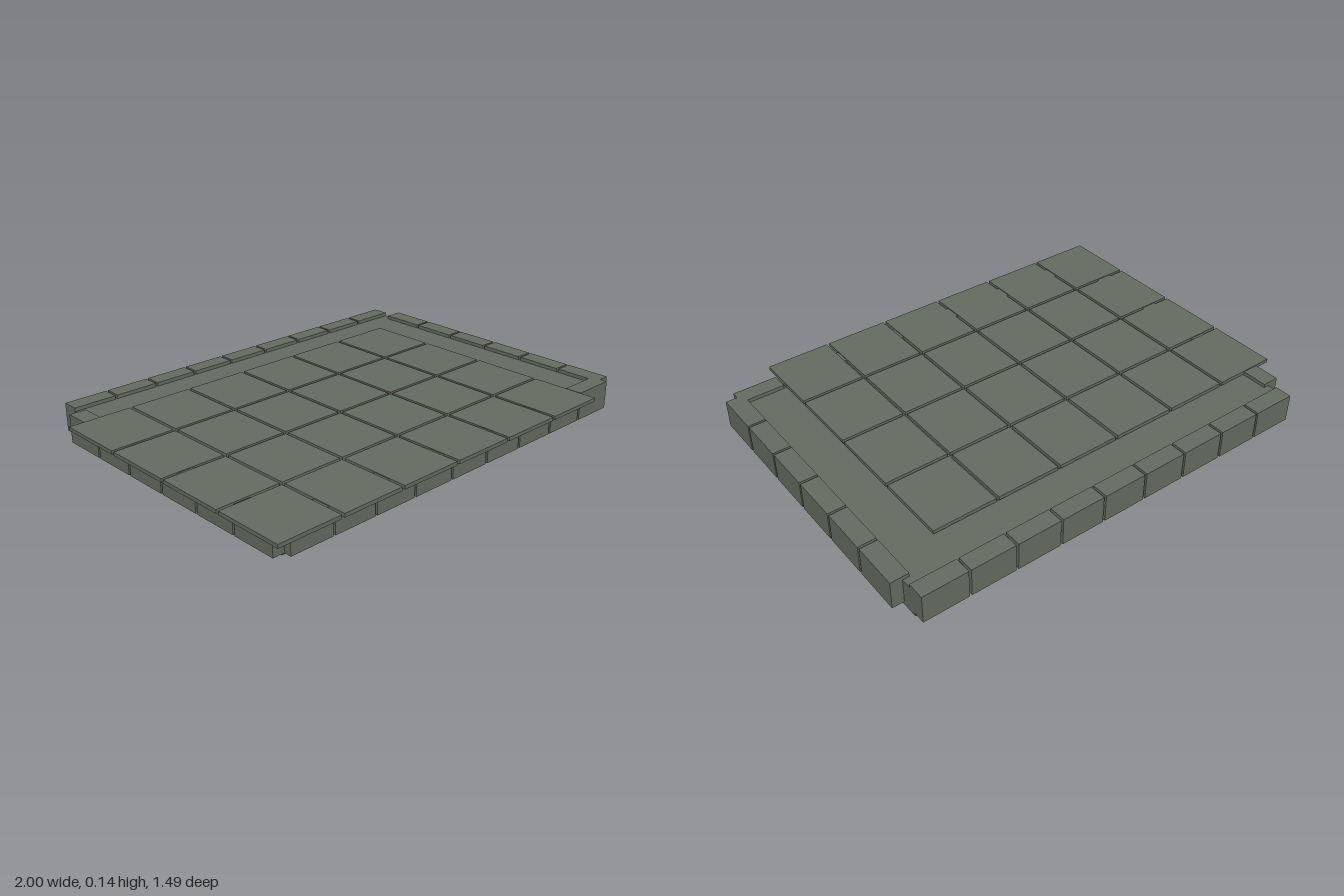
import * as THREE from 'three';

const stone = new THREE.MeshStandardMaterial({ color: 0x636a5f });
stone.name = 'greyGreenStone';

// Box given by its extents on each axis
function block(name, [x0, x1], [y0, y1], [z0, z1]) {
  const mesh = new THREE.Mesh(new THREE.BoxGeometry(x1 - x0, y1 - y0, z1 - z0), stone);
  mesh.position.set((x0 + x1) / 2, (y0 + y1) / 2, (z0 + z1) / 2);
  mesh.name = name;
  return mesh;
}

// Splits a length into equal pieces with a gap between neighbours
function split(from, to, count, gap) {
  const size = (to - from - gap * (count - 1)) / count;
  return Array.from({ length: count }, (_, i) => {
    const start = from + i * (size + gap);
    return [start, start + size];
  });
}

function group(name, parent) {
  const g = new THREE.Group();
  g.name = name;
  parent.add(g);
  return g;
}

export function createModel() {
  const model = new THREE.Group();
  model.name = 'stonePlatform';

  // Solid core
  model.add(block('coreSlab', [-0.88, 0.95], [0, 0.122], [-0.7, 0.62]));

  // Edge blocks along the front and back
  const edgeY = [0.014, 0.138];
  for (const [name, z] of [['front', [0.59, 0.665]], ['back', [-0.75, -0.675]]]) {
    const row = group(name + 'Edge', model);
    for (const x of split(-0.88, 0.95, 9, 0.01)) row.add(block(name + 'EdgeBlock', x, edgeY, z));
  }

  // Edge blocks along the two sides
  for (const [name, x] of [['left', [0.922, 1]], ['right', [-0.93, -0.855]]]) {
    const row = group(name + 'Edge', model);
    for (const z of split(-0.632, 0.632, 6, 0.01)) row.add(block(name + 'EdgeBlock', x, edgeY, z));
  }

  // Paving tiles, overhanging the front and right edges
  const paving = group('paving', model);
  for (const x of split(-1, 0.745, 6, 0.013)) {
    for (const z of split(-0.516, 0.743, 4, 0.013)) {
      paving.add(block('pavingTile', x, [0.126, 0.142], z));
    }
  }
  // Mortar bed closing the space under the tiles
  paving.add(block('mortarBed', [-0.855, 0.74], [0.12, 0.1265], [-0.51, 0.59]));

  return model;
}
